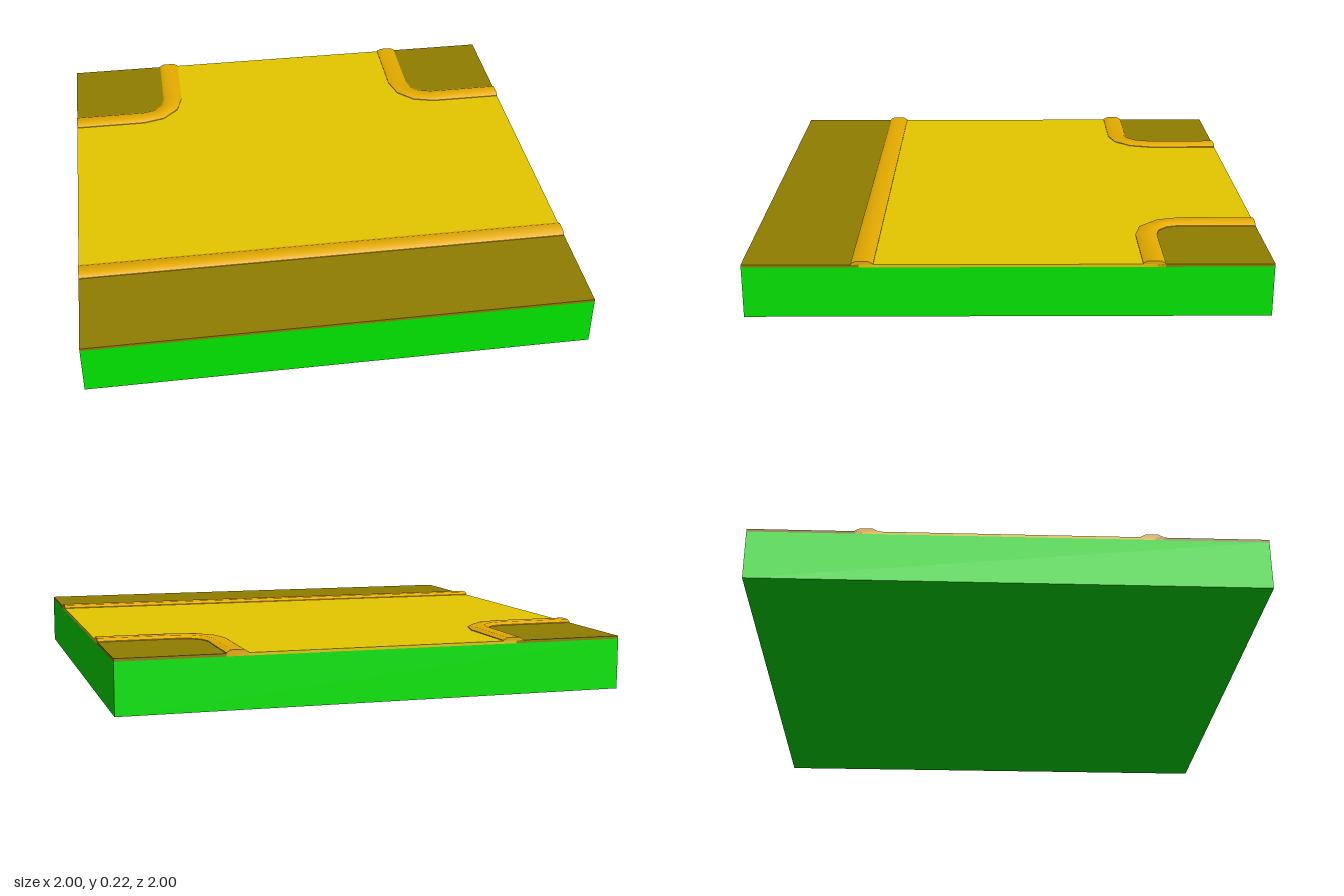
import * as THREE from 'three';
import { toCreasedNormals } from 'three/addons/utils/BufferGeometryUtils.js';

const mat = (color) => new THREE.MeshStandardMaterial({ color });
const GREEN = mat(0x00e600), ROAD = mat(0xe6c800), CURB = mat(0xe6ac00), PAVING = mat(0x907e00);

const GROUND = 0.2, SURFACE = 0.211, JOIN = 0.56;

// Curb cross-section: [position across, height], pavement side to road side
const SECTION = [
  [0, GROUND], [0, 0.214], [0.018, 0.224], [0.067, 0.224], [0.085, 0.214], [0.085, GROUND],
];

// Box given by its limits
function slab(name, material, x0, x1, y0, y1, z0, z1) {
  const geo = new THREE.BoxGeometry(x1 - x0, y1 - y0, z1 - z0);
  geo.translate((x0 + x1) / 2, (y0 + y1) / 2, (z0 + z1) / 2);
  const mesh = new THREE.Mesh(geo, material);
  mesh.name = name;
  return mesh;
}

// Sweep the curb section along stations [x, z, acrossX, acrossZ]
function curb(name, stations) {
  const n = SECTION.length, pos = [], index = [];
  for (const [x, z, ax, az] of stations) {
    for (const [d, y] of SECTION) pos.push(x + ax * d, y, z + az * d);
  }
  for (let s = 0; s < stations.length - 1; s++) {
    for (let i = 0; i < n; i++) {
      const j = (i + 1) % n;
      const a = s * n + i, b = s * n + j, c = a + n, d = b + n;
      index.push(a, b, c, b, d, c);
    }
  }
  // End caps
  const last = (stations.length - 1) * n;
  for (let i = 1; i < n - 1; i++) {
    index.push(0, i + 1, i, last, last + i, last + i + 1);
  }
  const geo = new THREE.BufferGeometry();
  geo.setAttribute('position', new THREE.Float32BufferAttribute(pos, 3));
  geo.setIndex(index);
  const mesh = new THREE.Mesh(toCreasedNormals(geo, 0.6), CURB);
  mesh.name = name;
  return mesh;
}

// Rounded corner curb: straight, three-segment bend, straight
function cornerStations(side) {
  const c = -0.69, r = 0.1;
  const list = [[-1, c + r, 0, 1]];
  for (let i = 0; i <= 3; i++) {
    const t = (i / 3) * Math.PI / 2;
    const ax = Math.sin(t), az = Math.cos(t);
    list.push([c + ax * r, c + az * r, ax, az]);
  }
  list.push([c + r, -1, 1, 0]);
  // Mirroring reverses the travel direction so faces stay outward
  return side < 0 ? list : list.map(([x, z, ax, az]) => [-x, z, -ax, az]).reverse();
}

export function createModel() {
  const model = new THREE.Group();
  model.name = 'roadJunctionTile';

  model.add(slab('groundBase', GREEN, -1, 1, 0, GROUND, -1, 1));

  // T-shaped road surface
  model.add(slab('mainRoad', ROAD, -1, 1, GROUND, SURFACE, -JOIN, JOIN));
  model.add(slab('sideRoad', ROAD, -JOIN, JOIN, GROUND, SURFACE, -1, -JOIN));

  // Pavements
  model.add(slab('frontPavement', PAVING, -1, 1, GROUND, SURFACE, JOIN, 1));
  model.add(slab('rightCornerPavement', PAVING, -1, -JOIN, GROUND, SURFACE, -1, -JOIN));
  model.add(slab('leftCornerPavement', PAVING, JOIN, 1, GROUND, SURFACE, -1, -JOIN));

  // Raised curbs
  model.add(curb('frontCurb', [[1, 0.59, 0, -1], [-1, 0.59, 0, -1]]));
  model.add(curb('rightCornerCurb', cornerStations(-1)));
  model.add(curb('leftCornerCurb', cornerStations(1)));

  return model;
}
